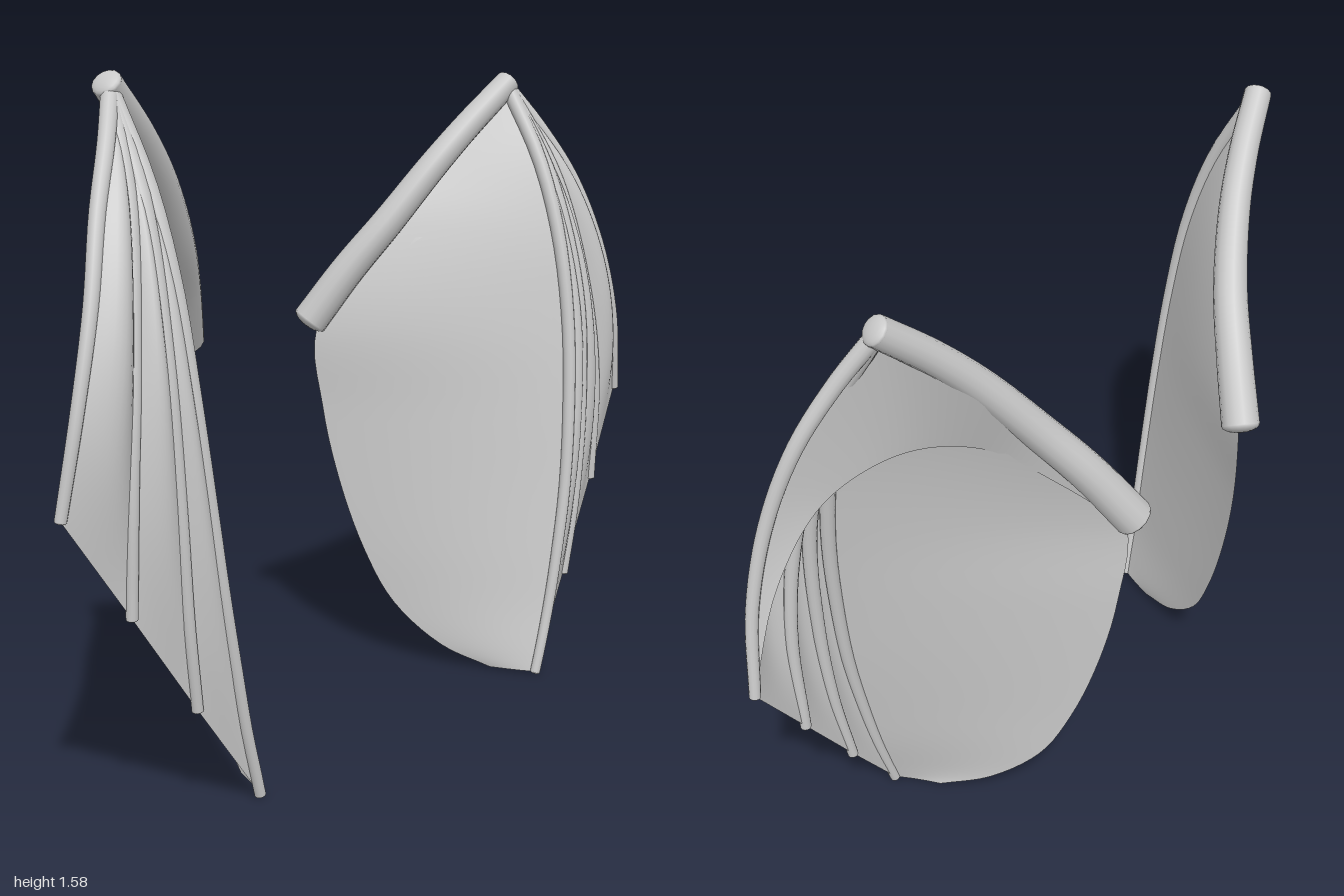
import * as THREE from 'three';

const V = (x, y, z) => new THREE.Vector3(x, y, z);

// one neutral grey for bones and membranes
const grey = new THREE.MeshStandardMaterial({ color: 0xc8c8c8, side: THREE.DoubleSide });
grey.name = 'wing grey';

const WRIST = [0.69, 1.54, 0.03];
const ARM = [[0.225, 0.937, -0.26], [0.295, 1.07, -0.19], [0.375, 1.195, -0.12],
  [0.48, 1.34, -0.055], [0.58, 1.45, -0.012], [0.695, 1.555, 0.025]];
// finger bones, from the outermost to the innermost
const FINGERS = [
  [WRIST, [0.755, 1.435, 0.09], [0.83, 1.3, 0.147], [0.893, 1.12, 0.195], [0.948, 0.92, 0.212], [0.987, 0.71, 0.2]],
  [WRIST, [0.75, 1.3, 0.152], [0.805, 1.0, 0.218], [0.832, 0.75, 0.237], [0.835, 0.48, 0.23]],
  [WRIST, [0.715, 1.3, 0.16], [0.735, 1.0, 0.24], [0.728, 0.7, 0.264], [0.71, 0.45, 0.264], [0.68, 0.245, 0.255]],
  [WRIST, [0.688, 1.35, 0.14], [0.684, 1.15, 0.21], [0.675, 0.92, 0.253], [0.655, 0.7, 0.275], [0.63, 0.5, 0.286],
    [0.595, 0.31, 0.288], [0.565, 0.17, 0.286], [0.535, 0.06, 0.284], [0.521, 0.01, 0.282]],
];
// line behind the arm where the membranes hang
const HANGER = [WRIST, [0.515, 1.34, -0.075], [0.4, 1.195, -0.133], [0.238, 0.92, -0.248]];
// inner border of the big membrane: the hanger, then the free rounded edge
const BORDER = [...HANGER, [0.25, 0.7, -0.238], [0.275, 0.5, -0.2], [0.31, 0.31, -0.14],
  [0.35, 0.17, -0.07], [0.41, 0.06, 0.05], [0.47, 0.01, 0.17]];
// free edge of the rear web; its inner part dips just through the big membrane
const WEB = [[0.987, 0.71, 0.2], [0.9, 0.965, 0.18], [0.79, 1.13, 0.14], [0.68, 1.195, 0.085], [0.57, 1.2, 0.035],
  [0.46, 1.165, -0.045], [0.35, 1.055, -0.145], [0.238, 0.92, -0.248]];

const curve = (pts, side) => new THREE.CatmullRomCurve3(pts.map(p => V(p[0] * side, p[1], p[2])), false, 'centripetal');

function add(parent, geometry, name) {
  const mesh = new THREE.Mesh(geometry, grey);
  mesh.name = name;
  parent.add(mesh);
  return mesh;
}

// tapered round bone with shallow rounded ends
function bone(parent, path, r0, r1, name) {
  const rows = 28, sides = 14, group = new THREE.Group();
  group.name = name;
  const geo = new THREE.TubeGeometry(path, rows, 1, sides);
  const pos = geo.attributes.position, p = V(0, 0, 0);
  for (let i = 0; i <= rows; i++) {
    const c = path.getPointAt(i / rows), r = r0 + (r1 - r0) * i / rows;
    for (let j = 0; j <= sides; j++) {
      const k = i * (sides + 1) + j;
      p.fromBufferAttribute(pos, k).sub(c).multiplyScalar(r).add(c);
      pos.setXYZ(k, p.x, p.y, p.z);
    }
  }
  add(group, geo, name + 'Shaft');
  [[0, r0], [1, r1]].forEach(([t, r]) => {
    const cap = add(group, new THREE.SphereGeometry(r, sides, 10), name + 'End');
    cap.scale.y = 0.4;
    cap.position.copy(path.getPointAt(t));
    cap.quaternion.setFromUnitVectors(V(0, 1, 0), path.getTangentAt(t));
  });
  parent.add(group);
}

// smooth sheet from a rule f(s, t) -> point
function sheet(parent, f, cols, rows, name, flip) {
  const pos = [], idx = [];
  for (let i = 0; i <= rows; i++)
    for (let j = 0; j <= cols; j++) pos.push(...f(j / cols, i / rows).toArray());
  for (let i = 0; i < rows; i++)
    for (let j = 0; j < cols; j++) {
      const a = i * (cols + 1) + j, b = a + 1, c = a + cols + 1, d = c + 1;
      idx.push(...(flip ? [a, b, c, b, d, c] : [a, c, b, b, c, d]));
    }
  const geo = new THREE.BufferGeometry();
  geo.setAttribute('position', new THREE.Float32BufferAttribute(pos, 3));
  geo.setIndex(idx);
  geo.computeVertexNormals();
  add(parent, geo, name);
}

function wing(side) {
  const g = new THREE.Group(), flip = side > 0;
  g.name = side > 0 ? 'leftWing' : 'rightWing';

  bone(g, curve(ARM, side), 0.047, 0.034, 'arm');
  const fingers = FINGERS.map(f => curve(f, side));
  fingers.forEach((f, i) => bone(g, f, 0.02, 0.013, 'finger' + (i + 1)));

  // membranes between fingers, billowing forward in the middle, straight at the tips
  [0.042, 0.03, 0.022].forEach((depth, i) => {
    const a = fingers[i], b = fingers[i + 1];
    sheet(g, (s, t) => {
      const p = a.getPointAt(t).lerp(b.getPointAt(t), s);
      p.z += Math.sin(Math.PI * s) * Math.sin(Math.PI * t) * depth;
      return p;
    }, 10, 28, 'fingerMembrane' + (i + 1), !flip);
  });

  // large inner membrane, nearly flat, swelling slightly forward; rows are paired by height
  const border = curve(BORDER, side);
  sheet(g, (s, t) => {
    const a = fingers[3].getPoint(t), b = border.getPoint(t);
    const bulge = Math.sin(Math.PI * s) * 0.02 * a.distanceTo(b);
    return a.lerp(b, s).add(V(-0.7 * side * bulge, 0, 0.7 * bulge));
  }, 16, 45, 'innerMembrane', !flip);

  // rear web hung from the outer finger and the hanger line
  const edge = curve(WEB, side), hanger = curve(HANGER, side);
  sheet(g, (s, t) => {
    const top = t < 0.5 ? fingers[0].getPointAt(1 - 2 * t) : hanger.getPointAt(2 * t - 1);
    return top.lerp(edge.getPoint(t), s);
  }, 8, 40, 'rearWeb', flip);
  return g;
}

export function createModel() {
  const model = new THREE.Group();
  model.name = 'wings';
  model.add(wing(1), wing(-1));
  return model;
}
